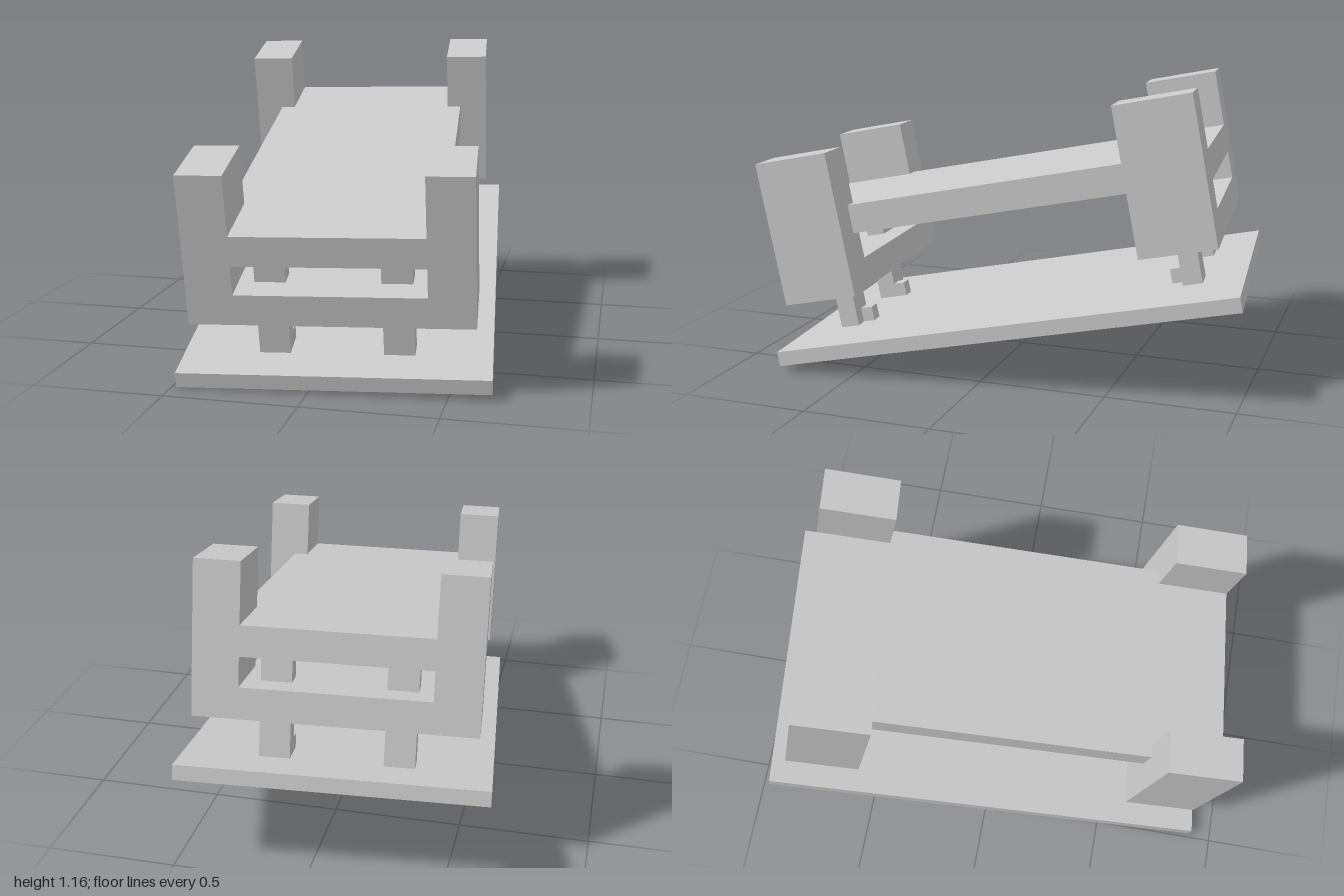
import * as THREE from 'three';

const material = new THREE.MeshStandardMaterial({ color: 0xcccccc, flatShading: true });

// Axis-aligned box given by its minimum and maximum corners
function box(name, [x0, y0, z0], [x1, y1, z1]) {
  const mesh = new THREE.Mesh(new THREE.BoxGeometry(x1 - x0, y1 - y0, z1 - z0), material);
  mesh.position.set((x0 + x1) / 2, (y0 + y1) / 2, (z0 + z1) / 2);
  mesh.name = name;
  return mesh;
}

// End frame: two posts joined by two rails, with a slot between the rails
const OUT = 0.518, IN = 0.348, DEPTH = 0.298, END = 0.866;
const BOTTOM = 0.172, TOP = 0.748, BED_TOP = 0.519, BED_BOTTOM = 0.404, RAIL_TOP = 0.291;

function endFrame(name, z) {
  const shape = new THREE.Shape([
    [-OUT, BOTTOM], [OUT, BOTTOM], [OUT, TOP], [IN, TOP],
    [IN, BED_TOP], [-IN, BED_TOP], [-IN, TOP], [-OUT, TOP],
  ].map(([x, y]) => new THREE.Vector2(x, y)));
  shape.holes.push(new THREE.Path([
    [-IN, RAIL_TOP], [-IN, BED_BOTTOM], [IN, BED_BOTTOM], [IN, RAIL_TOP],
  ].map(([x, y]) => new THREE.Vector2(x, y))));
  const mesh = new THREE.Mesh(
    new THREE.ExtrudeGeometry(shape, { depth: DEPTH, bevelEnabled: false }), material);
  mesh.position.z = z;
  mesh.name = name;
  return mesh;
}

export function createModel() {
  const model = new THREE.Group();
  model.name = 'bed';

  // Everything is built level, then turned and tilted together
  const body = new THREE.Group();
  body.name = 'tiltedBody';
  body.rotation.set(0.195, 0.0967, 0);
  body.position.set(-0.002, 0.2475, -0.039);
  model.add(body);

  // Base plate, its top at local y = 0
  body.add(box('basePlate', [-0.573, -0.058, -0.9215], [0.573, 0, 0.9215]));

  // Footboard, headboard and the bed slab between them
  body.add(endFrame('footboard', END - DEPTH));
  body.add(endFrame('headboard', -END));
  body.add(box('bedSlab', [-0.404, BED_BOTTOM, DEPTH - END], [0.404, BED_TOP, END - DEPTH]));

  // Four legs through the lower rails, each with a small block on its inner side
  for (const sx of [-1, 1]) {
    for (const sz of [-1, 1]) {
      const mirrored = (name, x0, x1, y1, z0, z1) => box(name,
        [Math.min(sx * x0, sx * x1), 0, Math.min(sz * z0, sz * z1)],
        [Math.max(sx * x0, sx * x1), y1, Math.max(sz * z0, sz * z1)]);
      body.add(mirrored('leg', 0.174, 0.289, BED_BOTTOM, 0.68, 0.757));
      body.add(mirrored('legBlock', 0.174, 0.232, 0.058, 0.632, 0.68));
    }
  }
  return model;
}
